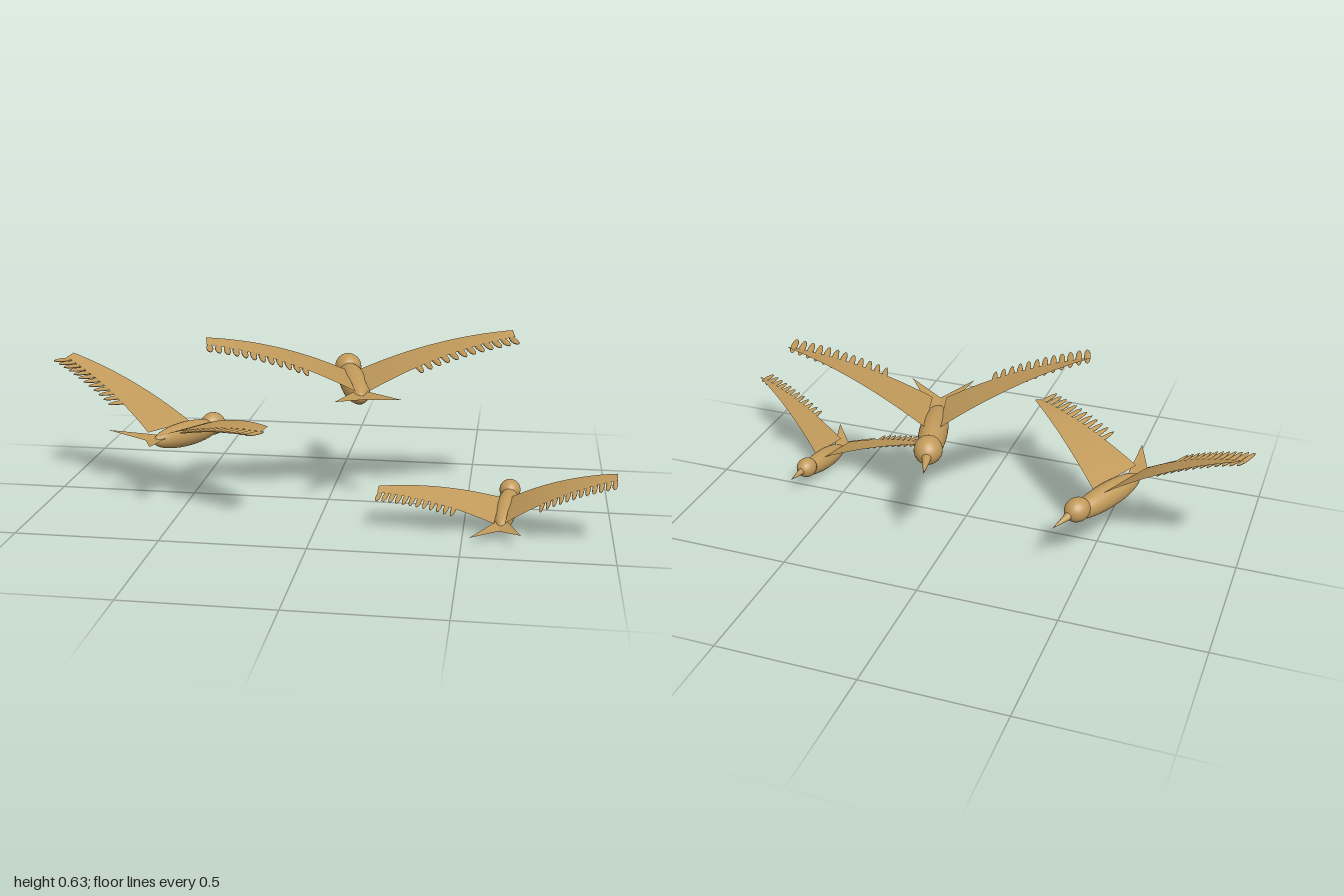
import * as THREE from 'three';

const plumage = new THREE.MeshStandardMaterial({ color: 0xc19a5b, side: THREE.DoubleSide });
plumage.name = 'tan plumage';

function add(parent, name, geometry) {
  const mesh = new THREE.Mesh(geometry, plumage);
  mesh.name = name;
  parent.add(mesh);
  return mesh;
}

const ball = new THREE.SphereGeometry(1, 32, 20);
const featherBall = new THREE.SphereGeometry(1, 12, 8);
const mix = THREE.MathUtils.lerp;

// Arched wing surface: t runs root to tip, c runs leading to trailing edge
const trailing = 0.218;
const wingHeight = (t) => 0.033 + 0.18 * (1.55 * t - 0.55 * t * t);
const wingX = (t) => mix(0.025, 0.537, t);
function wingPoint(t, c) {
  const z = mix(mix(-0.04, 0.18, t), trailing, c);
  return [wingX(t), wingHeight(t) + mix(0.008, -0.008, c), z];
}

function makeWing(side) {
  const wing = new THREE.Group();
  wing.name = 'wing';

  const sheet = new THREE.PlaneGeometry(1, 1, 20, 6);
  const pos = sheet.attributes.position;
  for (let i = 0; i < pos.count; i++) {
    const [x, y, z] = wingPoint(pos.getX(i) + 0.5, 0.5 - pos.getY(i));
    pos.setXYZ(i, side * x, y, z);
  }
  sheet.computeVertexNormals();
  add(wing, 'wingSurface', sheet);

  // Flight feathers along the trailing edge, shorter towards the tip
  const count = 12;
  for (let i = 0; i < count; i++) {
    const k = i / (count - 1);
    const t = mix(0.34, 0.98, k);
    const feather = add(wing, 'flightFeather', featherBall);
    feather.scale.set(0.012, 0.007, mix(0.1, 0.057, k));
    feather.position.set(side * wingX(t), wingHeight(t) - 0.014, trailing + mix(-0.028, 0.026, k));
    feather.rotation.z = side * Math.atan(0.35 * (1.55 - 1.1 * t));
  }
  return wing;
}

// Forked tail made of two flat pointed lobes
function makeTail() {
  const points = [];
  for (const s of [1, -1]) {
    const root = new THREE.Vector3(0, 0, 0.15);
    const notch = new THREE.Vector3(0, 0.004, 0.255);
    const tip = new THREE.Vector3(s * 0.115, 0.027, 0.36);
    const shoulder = new THREE.Vector3(s * 0.025, 0.008, 0.16);
    const lobe = [root, notch, tip, root, tip, shoulder];
    points.push(...(s > 0 ? lobe : lobe.reverse()));
  }
  const geometry = new THREE.BufferGeometry().setFromPoints(points);
  geometry.computeVertexNormals();
  return geometry;
}

// One bird flying towards -z, centred on its body
function makeBird(name) {
  const bird = new THREE.Group();
  bird.name = name;

  const body = add(bird, 'body', ball);
  body.scale.set(0.05, 0.052, 0.2);
  body.rotation.x = 0.05;

  const head = add(bird, 'head', ball);
  head.scale.set(0.049, 0.049, 0.056);
  head.position.set(0, 0.024, -0.165);

  const beakShape = new THREE.ConeGeometry(0.019, 0.11, 20);
  beakShape.rotateX(-Math.PI / 2);
  const beak = add(bird, 'beak', beakShape);
  beak.position.set(0, 0.018, -0.256);
  beak.rotation.x = -0.08;

  add(bird, 'tail', makeTail());
  bird.add(makeWing(1), makeWing(-1));
  return bird;
}

export function createModel() {
  const flock = new THREE.Group();
  flock.name = 'flock';
  // Position, scale, and pitch, yaw, roll in degrees
  const birds = [
    ['largeBird', [0.075, 0.405, -0.13], 1, [0, 15, 0]],
    ['middleBird', [-0.531, 0.215, -0.035], 0.87, [-6, -27, -8]],
    ['smallBird', [0.642, 0.042, 0.131], 0.75, [5.5, -6, 8]],
  ];
  for (const [name, position, scale, angles] of birds) {
    const bird = makeBird(name);
    bird.position.set(...position);
    bird.scale.setScalar(scale);
    bird.rotation.set(...angles.map(THREE.MathUtils.degToRad), 'YXZ');
    flock.add(bird);
  }
  return flock;
}
